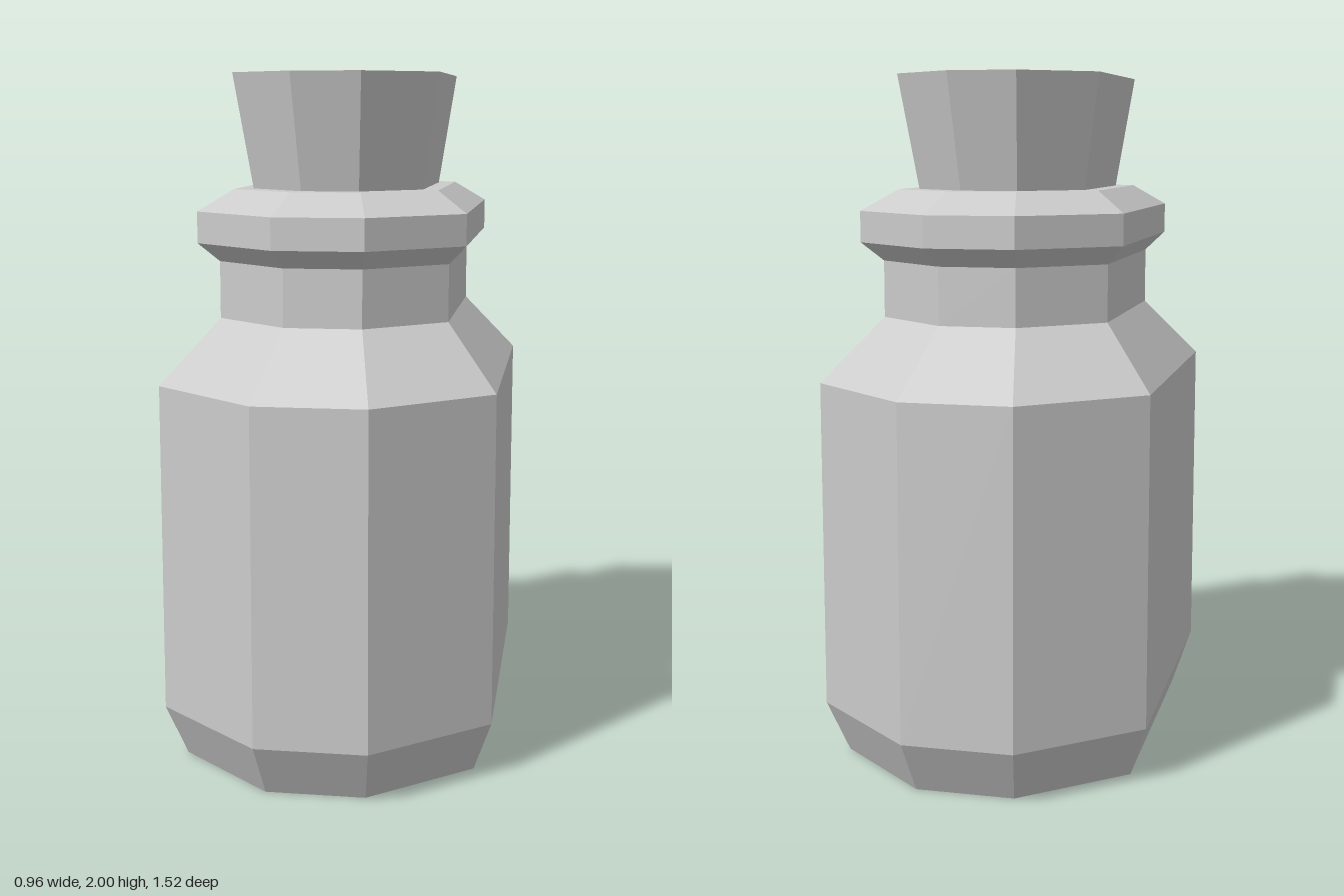
import * as THREE from 'three';

// Elongated octagon outline [x, z], anticlockwise seen from above
const OUTLINE = [
  [-0.16, 0.76], [0.16, 0.76], [0.48, 0.48], [0.48, -0.48],
  [0.16, -0.76], [-0.16, -0.76], [-0.48, -0.48], [-0.48, 0.48],
];

// Lofts the outline through rings of [height, scale], with optional end caps
function loft(rings, capBottom, capTop) {
  const n = OUTLINE.length;
  const positions = [];
  const index = [];
  for (const [y, s] of rings) {
    for (const [x, z] of OUTLINE) positions.push(x * s, y, z * s);
  }
  for (let r = 0; r < rings.length - 1; r++) {
    for (let i = 0; i < n; i++) {
      const a = r * n + i;
      const b = r * n + (i + 1) % n;
      index.push(a, b, b + n, a, b + n, a + n);
    }
  }
  const top = (rings.length - 1) * n;
  for (let i = 1; i < n - 1; i++) {
    if (capBottom) index.push(0, i + 1, i);
    if (capTop) index.push(top, top + i, top + i + 1);
  }
  const indexed = new THREE.BufferGeometry();
  indexed.setAttribute('position', new THREE.Float32BufferAttribute(positions, 3));
  indexed.setIndex(index);
  const geometry = indexed.toNonIndexed();
  geometry.computeVertexNormals();
  return geometry;
}

export function createModel() {
  const group = new THREE.Group();
  group.name = 'corkedBottle';
  const material = new THREE.MeshStandardMaterial({ color: 0xcccccc, flatShading: true });

  // Bottle: bevelled base, straight body, sloped shoulder, neck and lip
  const bottle = new THREE.Mesh(loft([
    [0, 0.89], [0.16, 1], [1.12, 1],
    [1.3, 0.69], [1.465, 0.69],
    [1.52, 0.8], [1.61, 0.8], [1.67, 0.615], [1.67, 0.515],
  ], true, false), material);
  bottle.name = 'bottle';

  // Cork: flares outward from the mouth of the bottle
  const cork = new THREE.Mesh(loft([[1.67, 0.515], [2, 0.617]], false, true), material);
  cork.name = 'cork';

  group.add(bottle, cork);
  return group;
}
